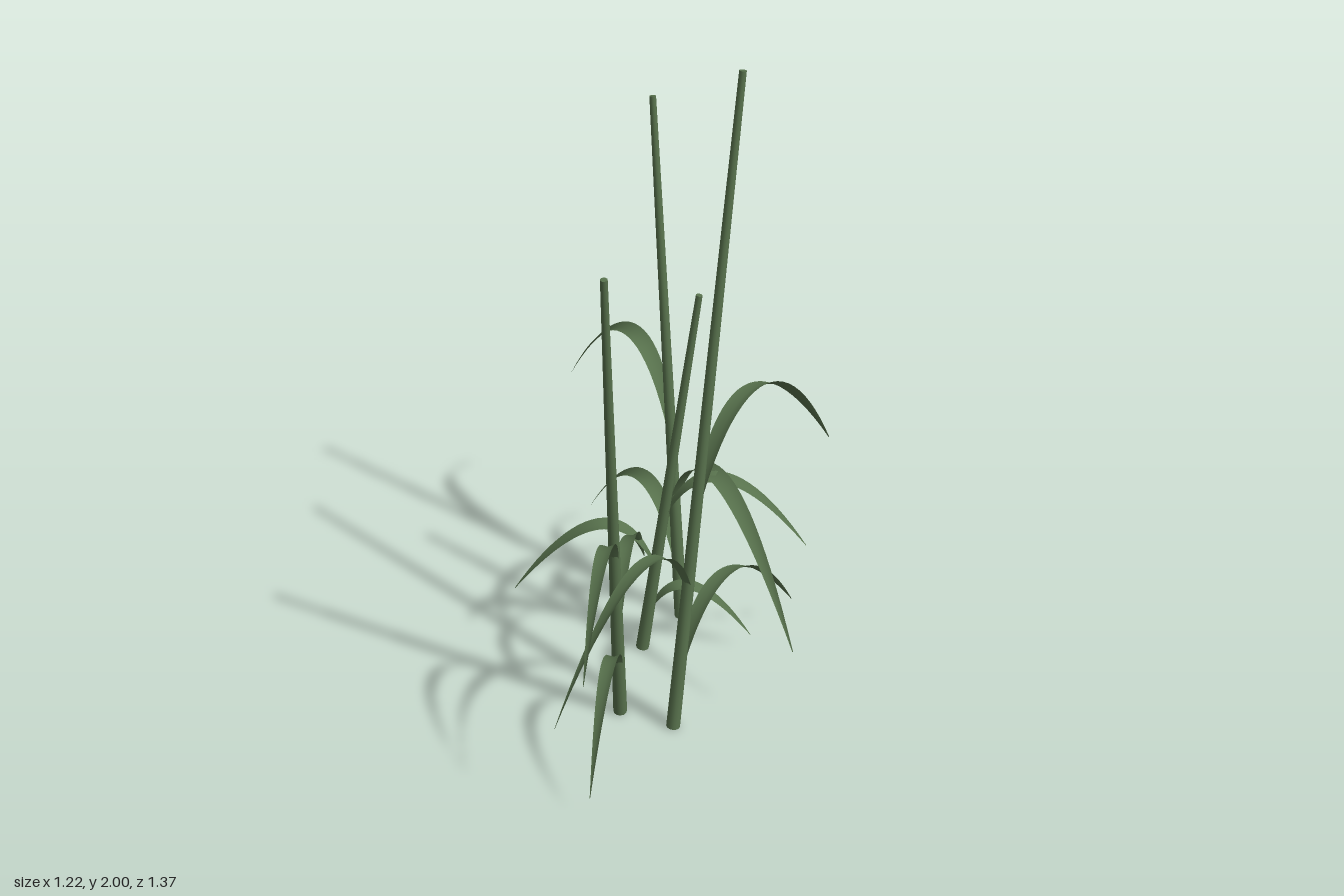
import * as THREE from 'three';

const UP = new THREE.Vector3(0, 1, 0);
const TWIST = 0.58; // roll of a blade from root to tip, in radians

// Four leaning stalks; each leaf is [start height, peak height, tip x, y, z].
// All leaves of one stalk roll the same way in space; roll is the sign for its first leaf.
const STALKS = [
  { base: [-0.12, 0, 0.46], top: [0.1, 2, 0.378], roll: -1, leaves: [
    [0.78, 1.033, 0.61, 0.64, 0.195],
    [0.49, 0.698, -0.61, 0.375, 0.635],
    [0.215, 0.432, 0.465, 0.09, 0.245]] },
  { base: [-0.223, 0, 0.322], top: [-0.347, 1.58, 0.462], roll: 1, leaves: [
    [0.61, 0.767, -0.545, 0.53, 0.68],
    [0.38, 0.552, 0.045, 0.28, 0.02],
    [0.175, 0.332, -0.52, 0.09, 0.66]] },
  { base: [0.173, 0, 0.043], top: [0.175, 1.735, -0.163], roll: -1, leaves: [
    [0.69, 0.917, 0.18, 0.55, -0.685],
    [0.435, 0.667, 0.168, 0.3, 0.645],
    [0.19, 0.407, 0.178, 0.065, -0.56]] },
  { base: [-0.014, 0, 0.108], top: [0.114, 1.28, 0.19], roll: 1, leaves: [
    [0.5, 0.662, 0.41, 0.41, 0.37],
    [0.32, 0.482, -0.35, 0.225, -0.11],
    [0.13, 0.252, 0.275, 0.055, 0.29]] },
];

// Tapered reed stem between two points
function makeStalk(base, top, material) {
  const axis = top.clone().sub(base);
  const mesh = new THREE.Mesh(new THREE.CylinderGeometry(0.0095, 0.021, axis.length(), 12), material);
  mesh.position.copy(base).add(top).multiplyScalar(0.5);
  mesh.quaternion.setFromUnitVectors(UP, axis.normalize());
  mesh.name = 'stalk';
  return mesh;
}

// Arching blade: a shallow V section swept along a curve, rolling towards the tip
function makeLeaf(start, peakY, tip, roll, material) {
  const out = tip.clone().sub(start).setY(0);
  const length = out.length();
  const rise = peakY - start.y, drop = start.y - tip.y;
  const control = start.clone().addScaledVector(out, 0.3);
  control.y += rise + Math.sqrt(rise * rise + rise * drop);
  const curve = new THREE.QuadraticBezierCurve3(start, control, tip);

  const flatSide = UP.clone().cross(out).normalize();
  const maxHalf = 0.012 + 0.024 * length;
  const rows = 24, positions = [], index = [];
  for (let i = 0; i <= rows; i++) {
    const t = i / rows;
    const p = curve.getPoint(t);
    const tangent = curve.getTangent(t);
    const side = flatSide.clone().applyAxisAngle(tangent, roll * TWIST * t);
    const normal = tangent.clone().cross(side).normalize();
    const half = maxHalf * Math.pow(Math.max(0.02, Math.sin(Math.PI * (0.15 + 0.85 * t))), 0.8);
    for (const s of [-1, 0, 1]) {
      const v = p.clone().addScaledVector(side, s * half)
        .addScaledVector(normal, (Math.abs(s) - 0.5) * half * 0.3);
      positions.push(v.x, v.y, v.z);
    }
    if (i < rows) {
      for (let j = 0; j < 2; j++) {
        const a = i * 3 + j, b = a + 3;
        index.push(a, b, a + 1, b, b + 1, a + 1);
      }
    }
  }
  const geometry = new THREE.BufferGeometry();
  geometry.setAttribute('position', new THREE.Float32BufferAttribute(positions, 3));
  geometry.setIndex(index);
  geometry.computeVertexNormals();
  const mesh = new THREE.Mesh(geometry, material);
  mesh.name = 'leaf';
  return mesh;
}

export function createModel() {
  const green = new THREE.MeshStandardMaterial({ color: 0x58724d, side: THREE.DoubleSide });
  green.name = 'reed green';

  const model = new THREE.Group();
  model.name = 'reeds';
  for (const { base, top, roll, leaves } of STALKS) {
    const reed = new THREE.Group();
    reed.name = 'reed';
    const b = new THREE.Vector3(...base), t = new THREE.Vector3(...top);
    reed.add(makeStalk(b, t, green));
    leaves.forEach(([startY, peakY, x, y, z], i) => {
      const start = b.clone().lerp(t, startY / t.y);
      const sign = i % 2 ? -roll : roll; // leaves alternate sides
      reed.add(makeLeaf(start, peakY, new THREE.Vector3(x, y, z), sign, green));
    });
    model.add(reed);
  }
  return model;
}
